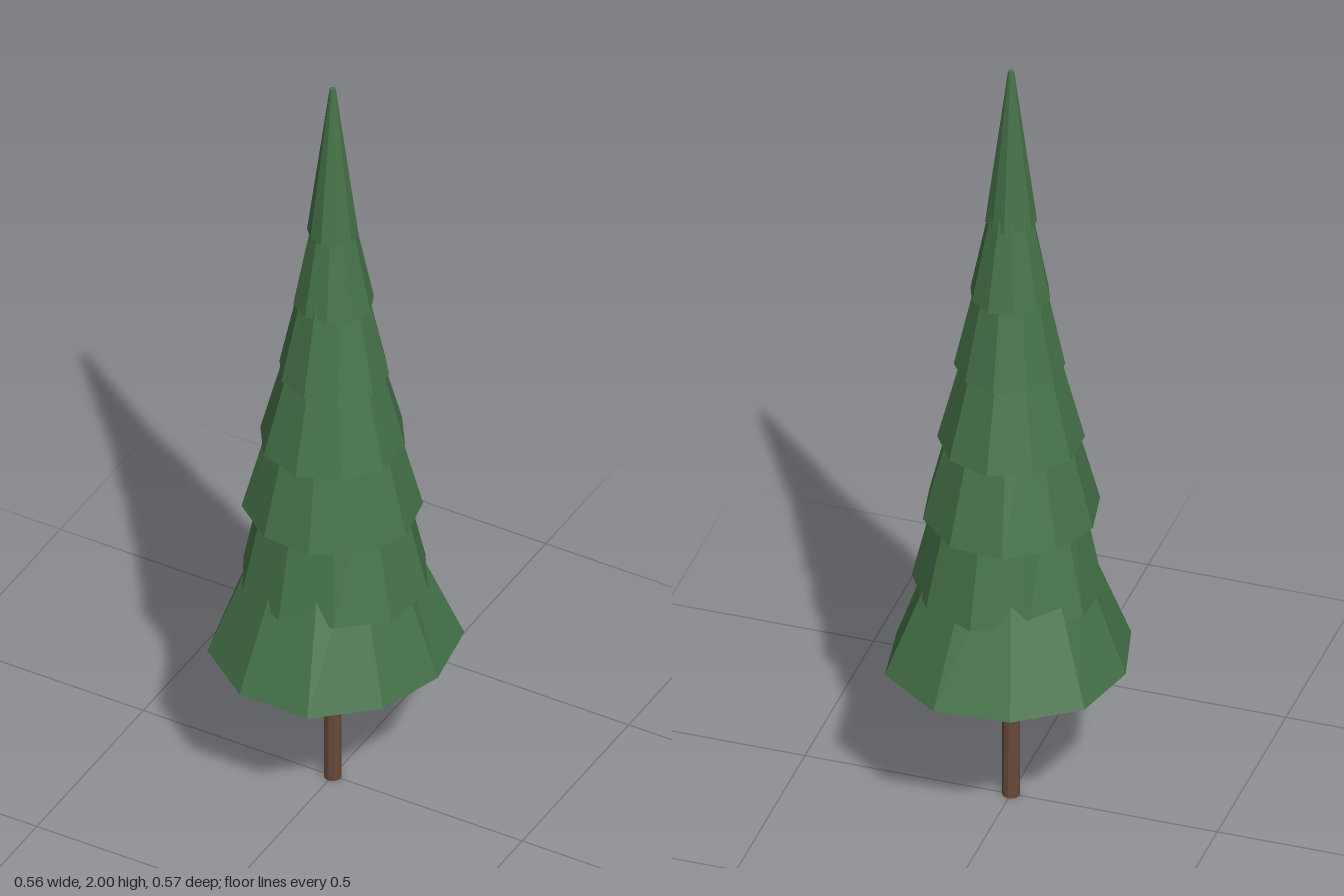
import * as THREE from 'three';

const SIDES = 10;
const STEP = (Math.PI * 2) / SIDES;

// Foliage tiers: base height, top height, top radius, twist in degrees, uneven base radii
const TIERS = [
  [0.39, 0.79, 0.135, 0, [0.277, 0.277, 0.296, 0.292, 0.29, 0.278, 0.29, 0.29, 0.302, 0.305]],
  [0.59, 0.99, 0.135, 24, [0.225, 0.21, 0.215, 0.22, 0.215, 0.225, 0.2, 0.23, 0.225, 0.23]],
  [0.79, 1.19, 0.105, 5, [0.205, 0.2, 0.2, 0.2, 0.21, 0.205, 0.205, 0.215, 0.215, 0.208]],
  [0.99, 1.38, 0.07, 18, [0.172, 0.172, 0.175, 0.175, 0.17, 0.17, 0.165, 0.178, 0.175, 0.17]],
  [1.19, 1.58, 0.045, 18, [0.137, 0.13, 0.135, 0.13, 0.125, 0.12, 0.125, 0.133, 0.13, 0.132]],
  [1.385, 1.78, 0.018, -3, [0.097, 0.096, 0.092, 0.092, 0.092, 0.093, 0.094, 0.094, 0.098, 0.096]],
  [1.585, 2, 0.007, 16, [0.062, 0.058, 0.06, 0.058, 0.06, 0.057, 0.055, 0.058, 0.055, 0.06]],
];

// Truncated cone whose base corners are pushed in or out by the given radii
function tierGeometry([bottom, top, topRadius, twist, radii]) {
  const height = top - bottom;
  const geometry = new THREE.CylinderGeometry(topRadius, 1, height, SIDES);
  const pos = geometry.attributes.position;
  for (let i = 0; i < pos.count; i++) {
    const x = pos.getX(i), z = pos.getZ(i);
    if (Math.hypot(x, z) < 1e-4) continue;
    const turn = Math.round((Math.atan2(z, x) - Math.PI / 10) / STEP);
    const corner = (turn + SIDES) % SIDES;
    const angle = corner * STEP + THREE.MathUtils.degToRad(twist);
    const radius = pos.getY(i) < 0 ? radii[corner] : topRadius;
    pos.setX(i, Math.cos(angle) * radius);
    pos.setZ(i, Math.sin(angle) * radius);
  }
  geometry.translate(0, bottom + height / 2, 0);
  geometry.computeVertexNormals();
  return geometry;
}

export function createModel() {
  const model = new THREE.Group();
  model.name = 'firTree';

  const needles = new THREE.MeshStandardMaterial({ color: 0x467349, flatShading: true });
  needles.name = 'needle green';
  const bark = new THREE.MeshStandardMaterial({ color: 0x664a3a, flatShading: true });
  bark.name = 'bark brown';

  // Thin trunk running up into the foliage
  const trunk = new THREE.Mesh(new THREE.CylinderGeometry(0.02, 0.021, 0.6, 10), bark);
  trunk.position.y = 0.3;
  trunk.name = 'trunk';
  model.add(trunk);

  // Overlapping tiers of branches up to the tip
  const foliage = new THREE.Group();
  foliage.name = 'foliage';
  TIERS.forEach((tier, i) => {
    const mesh = new THREE.Mesh(tierGeometry(tier), needles);
    mesh.name = i === TIERS.length - 1 ? 'treeTip' : `branchTier${i + 1}`;
    foliage.add(mesh);
  });
  model.add(foliage);

  return model;
}
